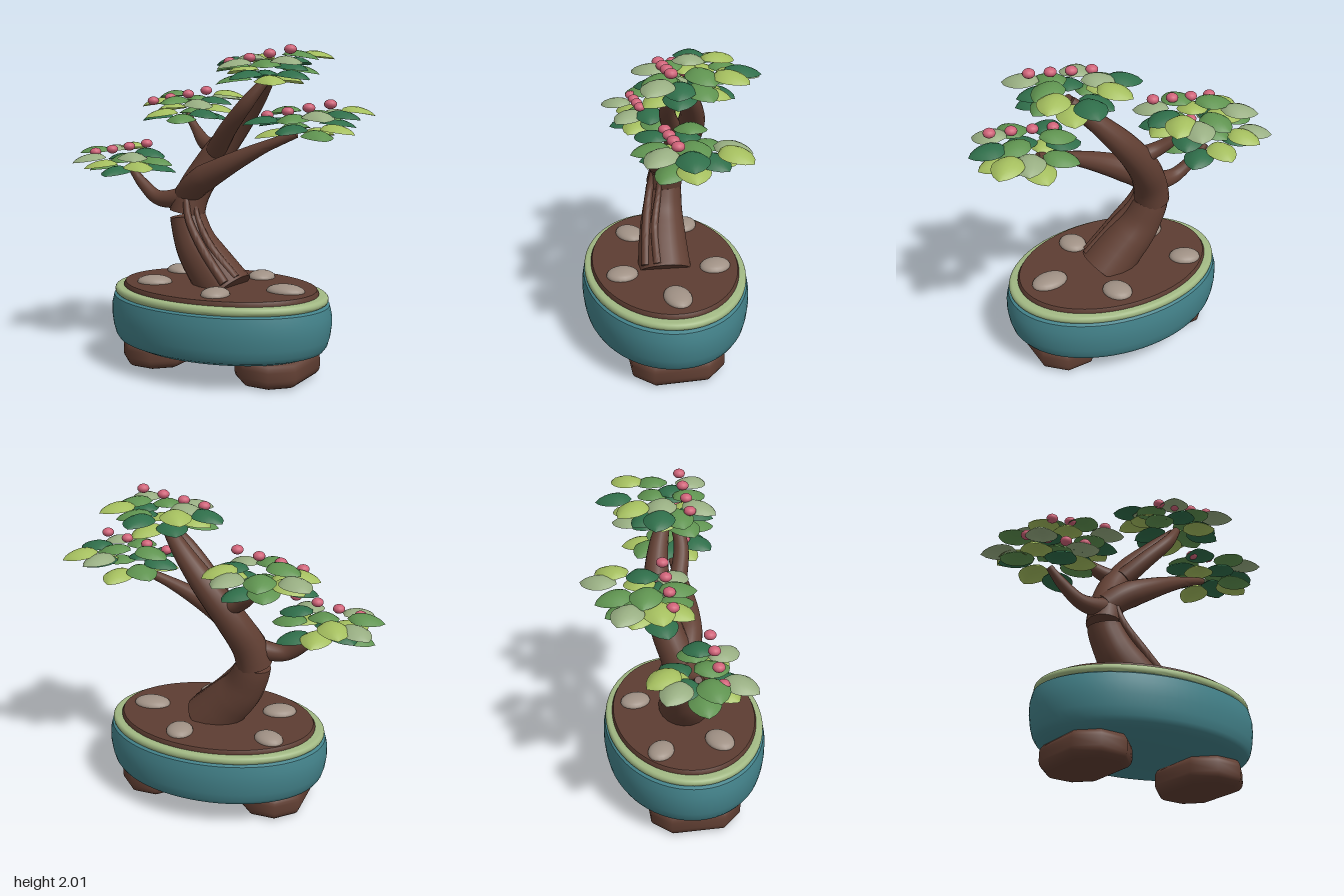
import * as THREE from 'three';
import { toCreasedNormals } from 'three/addons/utils/BufferGeometryUtils.js';

function material(name, color, side = THREE.FrontSide) {
  const m = new THREE.MeshStandardMaterial({ color, side });
  m.name = name;
  return m;
}

// Tube whose radius runs through a list of values, closed by flat ends
function taperedTube(points, radii, segments = 28, sides = 18) {
  const curve = new THREE.CatmullRomCurve3(points.map(p => new THREE.Vector3(...p)));
  const geo = new THREE.TubeGeometry(curve, segments, 1, sides);
  const pos = geo.attributes.position;
  const v = new THREE.Vector3();
  for (let i = 0; i <= segments; i++) {
    const centre = curve.getPointAt(i / segments);
    const cap = i === 0 || i === segments;
    const at = curve.getPointAt(Math.min(Math.max(i, 1), segments - 1) / segments);
    const f = (i / segments) * (radii.length - 1);
    const k = Math.min(Math.floor(f), radii.length - 2);
    const r = cap ? 0 : THREE.MathUtils.lerp(radii[k], radii[k + 1], f - k);
    for (let j = 0; j <= sides; j++) {
      const n = i * (sides + 1) + j;
      v.fromBufferAttribute(pos, n).sub(centre).multiplyScalar(r).add(at);
      pos.setXYZ(n, v.x, v.y, v.z);
    }
  }
  return toCreasedNormals(geo, 0.9);
}

// Cupped, pointed leaf with its tip toward +z
function leafGeometry(length, width) {
  const geo = new THREE.PlaneGeometry(1, 1, 6, 8).rotateX(-Math.PI / 2);
  const pos = geo.attributes.position;
  for (let i = 0; i < pos.count; i++) {
    const s = pos.getX(i) * 2;
    const u = pos.getZ(i) + 0.5;
    const w = Math.pow(Math.max(0, Math.sin(Math.PI * Math.pow(u, 0.85))), 0.65);
    pos.setXYZ(i, s * w * width / 2, 0.038 * (1 - s * s) * w - 0.015 * u * u, (u - 0.5) * length);
  }
  geo.computeVertexNormals();
  return geo;
}

export function createModel() {
  const model = new THREE.Group();
  const glaze = material('teal glaze', 0x43828a);
  const rimMat = material('pale green rim', 0xa1b883);
  const bark = material('brown bark', 0x613f33);
  const soilMat = material('dark soil', 0x5d3d32);
  const stoneMat = material('grey stone', 0xa09185);
  const berryMat = material('pink berry', 0xcf6278);
  const greens = [
    material('dark leaf', 0x2f6e4a, THREE.DoubleSide),
    material('green leaf', 0x5f9350, THREE.DoubleSide),
    material('lime leaf', 0xa4be5e, THREE.DoubleSide),
    material('sage leaf', 0x98ae82, THREE.DoubleSide),
  ];
  const add = (name, geo, mat, parent = model) => {
    const mesh = new THREE.Mesh(geo, mat);
    mesh.name = name;
    parent.add(mesh);
    return mesh;
  };

  // Oval pot, rim and soil
  const pot = new THREE.Group();
  pot.name = 'pot';
  pot.position.set(0.06, 0, 0.05);
  pot.scale.z = 0.72;
  model.add(pot);
  const lathe = pts => toCreasedNormals(
    new THREE.LatheGeometry(pts.map(p => new THREE.Vector2(...p)), 64), 0.8);
  add('bowl', lathe([[0, 0.158], [0.62, 0.158], [0.685, 0.182], [0.705, 0.21], [0.72, 0.26], [0.73, 0.33],
    [0.729, 0.4], [0.715, 0.455], [0.66, 0.48], [0, 0.48]]), glaze, pot);
  const rim = [[0.6, 0.463]];
  for (let i = 0; i <= 8; i++) {
    const t = (i / 8 - 0.5) * Math.PI;
    rim.push([0.682 + 0.026 * Math.cos(t), 0.488 + 0.025 * Math.sin(t)]);
  }
  add('rim', lathe([...rim, [0.6, 0.513]]), rimMat, pot);
  add('soil', lathe([[0.64, 0.48], [0.648, 0.52], [0.635, 0.54], [0, 0.544]]), soilMat, pot);

  // Two chunky rounded feet with cut corners
  const a = 0.145, b = 0.23, c = 0.085;
  const foot = new THREE.Shape([[-a, -b + c], [-a + c, -b], [a - c, -b], [a, -b + c],
    [a, b - c], [a - c, b], [-a + c, b], [-a, b - c]].map(p => new THREE.Vector2(...p)));
  const footGeo = toCreasedNormals(new THREE.ExtrudeGeometry(foot, {
    depth: 0.05, bevelThickness: 0.06, bevelSize: 0.06, bevelSegments: 5,
  }).rotateX(-Math.PI / 2), 0.85);
  for (const x of [-0.35, 0.47]) add('foot', footGeo, bark).position.set(x, 0.06, 0.05);

  // Stones half sunk in the soil: x, z, half width, half depth, turn
  const stoneGeo = new THREE.SphereGeometry(1, 20, 12);
  for (const [x, z, sx, sz, turn] of [[-0.31, 0.22, 0.11, 0.085, 0.4], [0.2, 0.34, 0.085, 0.1, 0.1],
    [0.52, 0.05, 0.12, 0.085, 0.1], [0.2, -0.25, 0.085, 0.1, 0.3], [-0.36, -0.16, 0.1, 0.08, -0.5]]) {
    const stone = add('stone', stoneGeo, stoneMat);
    stone.position.set(x, 0.545, z);
    stone.scale.set(sx, 0.042, sz);
    stone.rotation.y = turn;
  }

  // Trunk, bark ridges and branches
  add('lowerTrunk', taperedTube([[0.14, 0.48, 0.06], [0.01, 0.62, 0.05], [-0.12, 0.77, 0.03],
    [-0.19, 0.92, 0.01], [-0.2, 0.97, 0.01]], [0.172, 0.16, 0.145, 0.125, 0.11]), bark);
  add('upperTrunk', taperedTube([[-0.21, 0.92, 0.01], [-0.18, 1.07, -0.015], [-0.09, 1.26, -0.08],
    [0.06, 1.47, -0.115], [0.23, 1.66, -0.08], [0.39, 1.83, 0]],
  [0.115, 0.105, 0.095, 0.08, 0.058, 0.03]), bark);
  add('barkRidge', taperedTube([[-0.17, 1.09, 0.07], [-0.13, 0.95, 0.11], [0, 0.77, 0.155],
    [0.19, 0.56, 0.19]], [0.02, 0.028, 0.03]), bark);
  add('barkRidge', taperedTube([[-0.13, 1.06, 0.04], [-0.09, 0.94, 0.06], [0.03, 0.78, 0.105],
    [0.23, 0.59, 0.12]], [0.015, 0.024, 0.028]), bark);
  add('rightBranch', taperedTube([[-0.22, 1.06, 0], [-0.1, 1.16, 0.05], [0.1, 1.27, 0.08],
    [0.36, 1.4, 0.06], [0.6, 1.5, 0.02]], [0.085, 0.085, 0.06, 0.035, 0.02]), bark);
  add('leftBranch', taperedTube([[-0.16, 1.08, 0], [-0.28, 1.05, 0.03], [-0.4, 1.05, 0.04],
    [-0.52, 1.13, 0.03], [-0.63, 1.24, 0.02]], [0.08, 0.06, 0.045, 0.035, 0.02]), bark);
  add('backBranch', taperedTube([[-0.04, 1.36, -0.1], [-0.15, 1.4, -0.13], [-0.24, 1.47, -0.18],
    [-0.34, 1.58, -0.22]], [0.06, 0.045, 0.03, 0.02]), bark);
  add('crownBranch', taperedTube([[-0.04, 1.34, -0.06], [0.1, 1.5, 0.02], [0.25, 1.66, 0.06],
    [0.38, 1.83, 0.01]], [0.065, 0.055, 0.045, 0.025]), bark);

  // Leaf pads: centre, then top leaves as offset x, offset z, colour
  const leafGeo = leafGeometry(0.225, 0.19);
  const berryGeo = new THREE.SphereGeometry(0.037, 16, 10);
  const pads = [
    ['leftPad', [-0.63, 1.28, 0.02], [[-0.24, -0.17, 3], [-0.12, -0.22, 2], [-0.25, 0.04, 1],
      [-0.17, 0.21, 3], [0.14, 0.17, 3], [0.18, 0.03, 0], [0.02, 0.08, 1]]],
    ['backPad', [-0.33, 1.61, -0.21], [[-0.24, -0.16, 3], [-0.22, 0.02, 2], [-0.13, -0.04, 1],
      [-0.04, -0.21, 1], [0.13, -0.28, 3], [0.2, -0.2, 2], [0.2, -0.02, 0], [0.18, 0.16, 3],
      [0, 0.16, 1]]],
    ['crownPad', [0.36, 1.86, 0], [[0.04, -0.33, 0], [-0.16, -0.24, 2], [0.22, -0.23, 2],
      [-0.3, -0.1, 0], [-0.16, -0.07, 3], [0.18, -0.08, 1], [0.19, 0.05, 0], [-0.13, 0.17, 3],
      [0.22, 0.18, 3], [-0.22, 0.03, 1], [0.06, 0.14, 1]]],
    ['rightPad', [0.62, 1.55, 0.01], [[0.11, -0.22, 3], [0.24, -0.21, 2], [0.25, 0.03, 0],
      [0.11, -0.01, 1], [0.02, 0.22, 1], [0.17, 0.19, 3], [-0.2, 0.18, 0], [-0.16, -0.04, 1]]],
  ];
  // Lower leaf colours, mostly dark, lime and green
  const mix = [0, 2, 1, 0, 2, 0, 1, 2];
  pads.forEach(([name, centre, top], p) => {
    const pad = new THREE.Group();
    pad.name = name;
    pad.position.set(...centre);
    model.add(pad);
    const leaf = (x, y, z, colour, tilt) => {
      const mesh = add('leaf', leafGeo, greens[colour], pad);
      mesh.position.set(x, y, z);
      mesh.rotation.set(tilt, Math.atan2(x, z), 0, 'YXZ');
    };
    top.forEach(([x, z, colour], i) => leaf(x, (z > 0 ? 0.012 : 0.045) + 0.018 * (i % 3), z, colour,
      0.02 + 0.05 * (i % 2)));
    // Lower drooping ring
    for (let i = 0; i < 8; i++) {
      const t = (i + 0.3 * p) * Math.PI / 4;
      leaf(0.21 * Math.sin(t), -0.065 + 0.03 * (i % 3), 0.165 * Math.cos(t), mix[(i + 2 * p) % 8], 0.06);
    }
    // Row of four berries
    for (let i = 0; i < 4; i++) {
      const berry = add('berry', berryGeo, berryMat, pad);
      berry.position.set((i - 1.5) * 0.134, 0.085 + (i - 1.5) * 0.024, 0.1);
      berry.scale.y = 0.75;
    }
  });
  return model;
}
